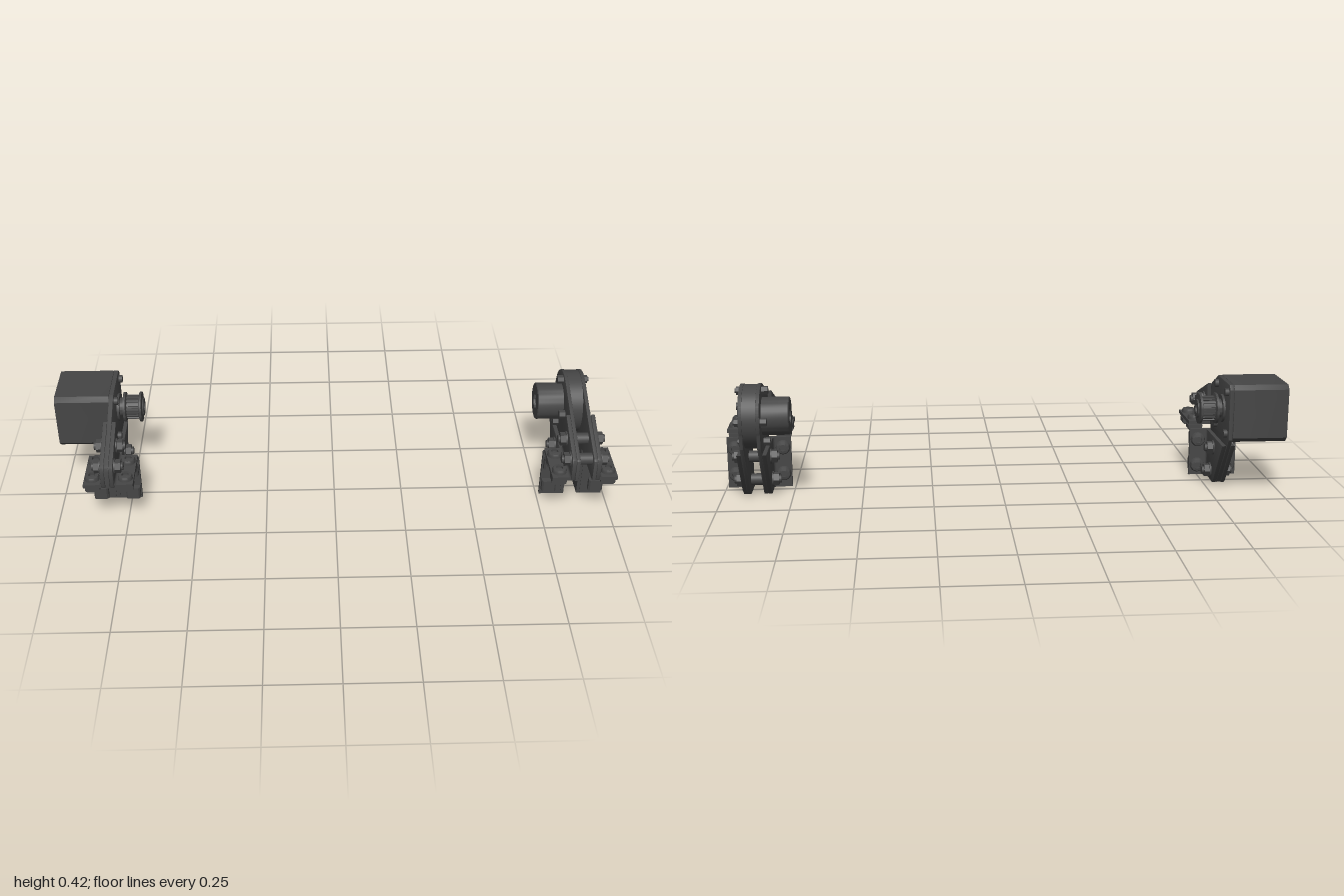
import * as THREE from 'three';
import { toCreasedNormals } from 'three/addons/utils/BufferGeometryUtils.js';

const dark = new THREE.MeshStandardMaterial({ color: 0x464646 });
dark.name = 'dark metal';

const AXIS_Y = 0.305, AXIS_Z = -0.12;
// [z, y] of the bolts clamping the gussets
const CLAMP = [[0.195, 0.265], [0.103, 0.288], [-0.068, 0.145], [-0.035, 0.05]];

function add(parent, name, geo, x = 0, y = 0, z = 0) {
  const m = new THREE.Mesh(geo, dark);
  m.name = name;
  m.position.set(x, y, z);
  parent.add(m);
  return m;
}

// Extrudes a side profile of [z, y] points from x0 to x1
function plate(parent, name, pts, x0, x1, bevel = 0) {
  const s = pts instanceof THREE.Shape ? pts : new THREE.Shape(pts.map(([z, y]) => new THREE.Vector2(-z, y)));
  const g = new THREE.ExtrudeGeometry(s, {
    depth: x1 - x0 - 2 * bevel, bevelEnabled: bevel > 0, bevelSize: bevel,
    bevelThickness: bevel, bevelOffset: -bevel, bevelSegments: 2, curveSegments: 32,
  });
  g.translate(0, 0, bevel);
  g.rotateY(Math.PI / 2);
  return add(parent, name, toCreasedNormals(g, 0.6), x0);
}

// Cylinder or prism lying along x
function rodX(parent, name, r, x0, x1, y, z, sides = 32) {
  let g = new THREE.CylinderGeometry(r, r, Math.abs(x1 - x0), sides);
  g.rotateZ(Math.PI / 2);
  if (sides < 8) g = toCreasedNormals(g, 0.5);
  return add(parent, name, g, (x0 + x1) / 2, y, z);
}

// Turned part along x from [radius, x] points
function turnedX(parent, name, pts, x) {
  const g = new THREE.LatheGeometry(pts.map(([r, h]) => new THREE.Vector2(r, h)), 40);
  g.rotateZ(-Math.PI / 2);
  return add(parent, name, toCreasedNormals(g, 0.6), x, AXIS_Y, AXIS_Z);
}

// Button head, neck and slot nut, with +y pointing towards the head
function flangeFastener() {
  const f = new THREE.Group();
  f.name = 'flangeFastener';
  const head = new THREE.LatheGeometry([[0, 0], [0.026, 0], [0.026, 0.009], [0.022, 0.016], [0.012, 0.018], [0.012, 0.009], [0, 0.009]]
    .map(([r, h]) => new THREE.Vector2(r, h)), 24);
  add(f, 'buttonHead', toCreasedNormals(head, 0.6), 0, 0.012, 0);
  add(f, 'boltNeck', new THREE.CylinderGeometry(0.014, 0.014, 0.024, 20), 0, 0.001, 0);
  const nut = new THREE.Shape();
  nut.moveTo(-0.026, 0).lineTo(0.026, 0).lineTo(0.026, -0.016).lineTo(0.02, -0.022).lineTo(-0.02, -0.022).lineTo(-0.026, -0.016);
  add(f, 'slotNut', toCreasedNormals(new THREE.ExtrudeGeometry(nut, { depth: 0.046, bevelEnabled: false }), 0.4), 0, -0.007, -0.023);
  return f;
}

// Pair of gussets with flanges; s is the outward direction along x
function gussetPair(parent, xIn, s, y0) {
  const g = new THREE.Group();
  g.name = s > 0 ? 'leftGussets' : 'rightGussets';
  parent.add(g);
  const t = 0.015, w = 0.079, xOut = xIn + s * t, xMin = Math.min(xIn, xOut), xMax = Math.max(xIn, xOut);
  plate(g, 'upperGusset', [[0.055, 0.2], [0.235, 0.2], [0.238, 0.205], [0.238, 0.27], [0.233, 0.283], [0.222, 0.29], [0.055, 0.357]], xMin, xMax, 0.003);
  plate(g, 'lowerGusset', [[0.045, y0], [0.045, 0.186], [-0.205, 0.186], [-0.085, 0.022], [-0.07, 0.012], [-0.055, y0]], xMin, xMax, 0.003);
  const xc = xIn + s * w / 2;
  add(g, 'upperFlange', new THREE.BoxGeometry(w, 0.013, 0.18), xc, 0.2065, 0.145);
  add(g, 'lowerFlange', new THREE.BoxGeometry(w, 0.188 - y0, 0.013), xc, (0.188 + y0) / 2, 0.0385);
  // bend fillets between web and flange
  const b = 0.012;
  for (const [name, len, up] of [['upperBend', 0.18, true], ['lowerBend', 0.186 - y0, false]]) {
    const f = new THREE.Shape();
    f.moveTo(0, 0).lineTo(s * b, 0).quadraticCurveTo(0, 0, 0, b);
    const geo = new THREE.ExtrudeGeometry(f, { depth: len, bevelEnabled: false });
    if (!up) geo.rotateX(-Math.PI / 2);
    add(g, name, geo, xOut, up ? 0.213 : y0, up ? 0.055 : 0.032);
  }
  const bx = xIn + s * 0.05;
  for (const z of [0.197, 0.097]) {
    const f = flangeFastener();
    f.position.set(bx, 0.2, z);
    g.add(f);
  }
  for (const y of [0.15, 0.052]) {
    const f = flangeFastener();
    f.rotation.x = -Math.PI / 2;
    f.position.set(bx, y, 0.045);
    g.add(f);
  }
  // clamp nuts
  for (const [z, y] of CLAMP) {
    rodX(g, 'washer', 0.027, xOut, xOut + s * 0.005, y, z, 24);
    rodX(g, 'clampNut', 0.024, xOut + s * 0.005, xOut + s * 0.024, y, z, 6);
    rodX(g, 'boltEnd', 0.014, xOut + s * 0.024, xOut + s * 0.032, y, z, 16);
  }
}

// Side plate of the idler: rounded about the axis
function idlerProfile() {
  const s = new THREE.Shape();
  s.moveTo(-0.045, 0).lineTo(-0.045, 0.2).lineTo(-0.238, 0.2).lineTo(-0.238, 0.27);
  s.quadraticCurveTo(-0.238, 0.284, -0.222, 0.29);
  s.lineTo(-0.09, 0.341);
  s.absarc(-AXIS_Z, AXIS_Y, 0.115, Math.PI * 0.62, -Math.PI * 0.13, true);
  s.lineTo(0.222, 0.212).lineTo(0.085, 0.02);
  s.quadraticCurveTo(0.07, 0, 0.045, 0);
  return s;
}

function idlerUnit() {
  const u = new THREE.Group();
  u.name = 'idlerUnit';
  const xa = 0.841, xb = 0.914, t = 0.013;
  plate(u, 'innerPlate', idlerProfile(), xa, xa + t, 0.002);
  plate(u, 'outerPlate', idlerProfile(), xb - t, xb, 0.002);
  rodX(u, 'housing', 0.113, xa + t, xb - t, AXIS_Y, AXIS_Z, 48);
  gussetPair(u, xa, -1, 0);
  gussetPair(u, xb, 1, 0);
  for (const [z, y] of CLAMP) rodX(u, 'spacer', 0.021, xa, xb, y, z, 24);
  // stepped bearing face
  turnedX(u, 'bearingFace', [[0.069, 0], [0.069, 0.006], [0.059, 0.008], [0.057, 0.003], [0.045, 0.003], [0.043, 0.007],
    [0.034, 0.007], [0.032, 0.003], [0.024, 0.003], [0.023, 0.008], [0.014, 0.008], [0.012, 0.004], [0, 0.004]], xb);
  // side drum with a hollow end
  turnedX(u, 'drum', [[0, -0.08], [0.026, -0.08], [0.028, -0.095], [0.064, -0.095], [0.067, -0.092], [0.067, 0], [0, 0]], xa).material = dark;
  rodX(u, 'drumShaft', 0.014, xa - 0.09, xa, AXIS_Y, AXIS_Z, 20);
  for (let i = 0; i < 4; i++) {
    const a = i * Math.PI / 2, y = AXIS_Y + 0.092 * Math.sin(a), z = AXIS_Z + 0.092 * Math.cos(a);
    rodX(u, 'housingBolt', 0.015, xa - 0.022, xa, y, z, 6);
    rodX(u, 'housingNut', 0.015, xb, xb + 0.014, y, z, 6);
    rodX(u, 'housingBoltEnd', 0.008, xb, xb + 0.019, y, z, 16);
  }
  return u;
}

function motorUnit() {
  const u = new THREE.Group();
  u.name = 'motorUnit';
  const xa = -0.805, xb = -0.789;
  plate(u, 'motorPlate', [[0.045, 0.013], [0.045, 0.2], [0.238, 0.2], [0.238, 0.27], [0.233, 0.283], [0.222, 0.29], [0.09, 0.341],
    [-0.025, 0.4], [-0.04, 0.408], [-0.208, 0.408], [-0.223, 0.393], [-0.223, 0.212], [-0.085, 0.025], [-0.07, 0.013]], xa, xb, 0.002);
  // chamfered motor body
  const h = 0.103, c = 0.016;
  const body = [[h, h - c], [h - c, h], [c - h, h], [-h, h - c], [-h, c - h], [c - h, -h], [h - c, -h], [h, c - h]]
    .map(([z, y]) => [AXIS_Z + z, AXIS_Y + y]);
  plate(u, 'motorBody', body.reverse(), -1, xa, 0.003);
  gussetPair(u, xa, -1, 0.013);
  gussetPair(u, xb, 1, 0.013);
  rodX(u, 'motorBoss', 0.05, xb, xb + 0.008, AXIS_Y, AXIS_Z);
  // flanged belt pulley
  turnedX(u, 'pulley', [[0, 0], [0.034, 0], [0.034, 0.022], [0.055, 0.022], [0.055, 0.03], [0.04, 0.034], [0.04, 0.076],
    [0.055, 0.08], [0.055, 0.088], [0.034, 0.09], [0.032, 0.095], [0.016, 0.095], [0.014, 0.088], [0, 0.088]], xb);
  for (let i = 0; i < 18; i++) {
    const a = i * Math.PI / 9;
    const tooth = add(u, 'pulleyTooth', new THREE.BoxGeometry(0.044, 0.007, 0.007), xb + 0.055,
      AXIS_Y + 0.041 * Math.sin(a), AXIS_Z + 0.041 * Math.cos(a));
    tooth.rotation.x = -a;
  }
  for (const sy of [-1, 1]) for (const sz of [-1, 1]) {
    rodX(u, 'motorBolt', 0.014, xb, xb + 0.013, AXIS_Y + sy * 0.075, AXIS_Z + sz * 0.075, 20);
  }
  return u;
}

export function createModel() {
  const model = new THREE.Group();
  model.name = 'beltDriveEnds';
  model.add(motorUnit(), idlerUnit());
  return model;
}
